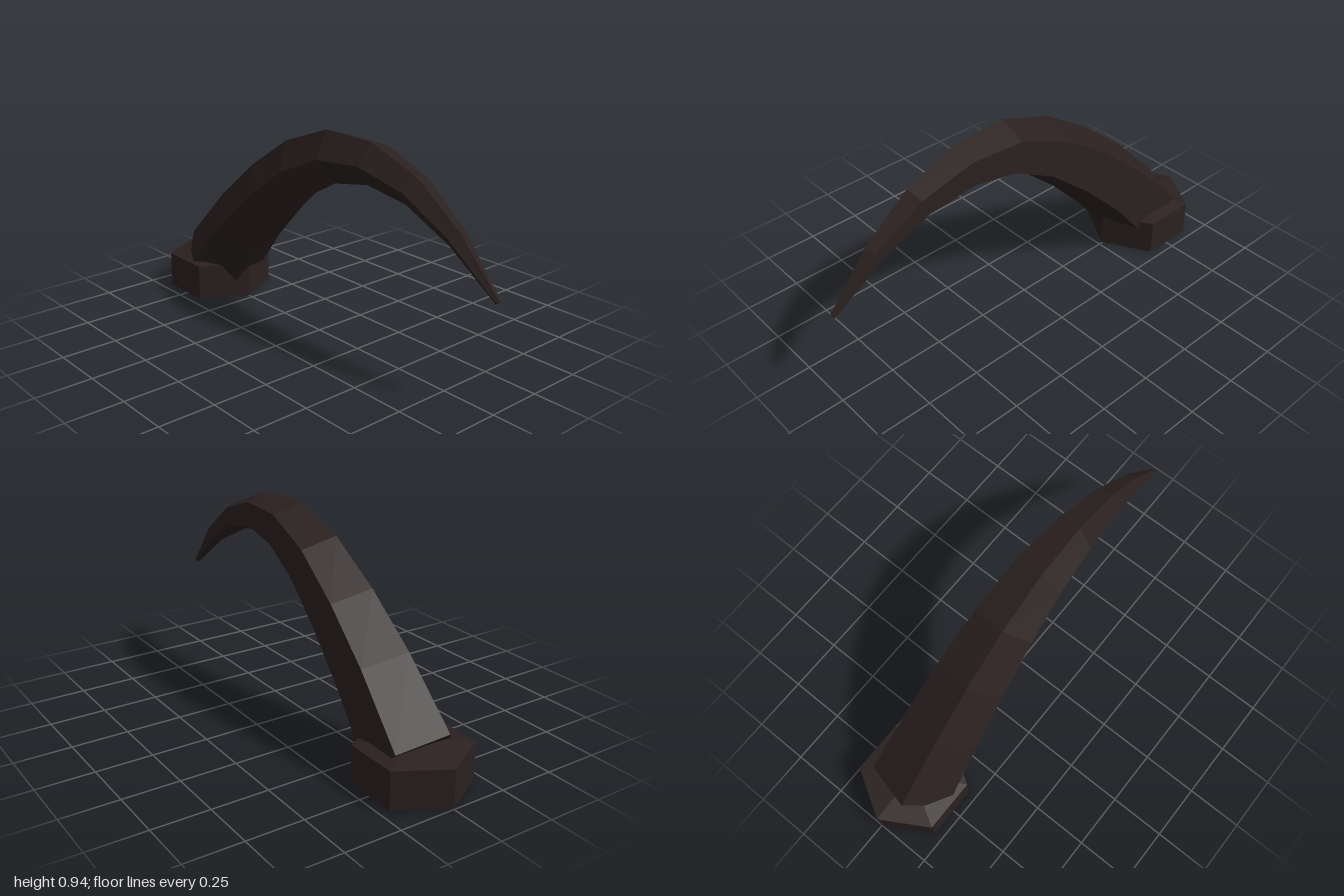
import * as THREE from 'three';

const darkHorn = new THREE.MeshStandardMaterial({ color: 0x2b2020, flatShading: true });
darkHorn.name = 'darkHorn';

// Centre line of the horn as x, y, and the radius of each ring
const RINGS = [
  [-0.755, 0.13, 0.195], [-0.525, 0.387, 0.175], [-0.315, 0.582, 0.157],
  [-0.102, 0.743, 0.138], [0.113, 0.838, 0.118], [0.334, 0.852, 0.095],
  [0.557, 0.79, 0.07], [0.777, 0.655, 0.044], [0.988, 0.462, 0.012],
];
const SIDES = 5;

// Five-sided tapered sweep with one corner pointing to +z
function hornGeometry() {
  const positions = [];
  const index = [];
  const last = RINGS.length - 1;
  RINGS.forEach(([x, y, r], i) => {
    const a = RINGS[Math.max(i - 1, 0)];
    const b = RINGS[Math.min(i + 1, last)];
    const normal = new THREE.Vector2(a[1] - b[1], b[0] - a[0]).normalize();
    for (let j = 0; j < SIDES; j++) {
      const t = (j / SIDES) * Math.PI * 2;
      const s = Math.sin(t) * r;
      positions.push(x + normal.x * s, y + normal.y * s, Math.cos(t) * r);
    }
  });
  for (let i = 0; i < last; i++) {
    for (let j = 0; j < SIDES; j++) {
      const k = (j + 1) % SIDES;
      const p = i * SIDES;
      const q = p + SIDES;
      index.push(p + j, q + j, p + k, q + j, q + k, p + k);
    }
  }
  // End caps
  const e = last * SIDES;
  for (let j = 1; j < SIDES - 1; j++) {
    index.push(0, j, j + 1, e, e + j + 1, e + j);
  }
  const geometry = new THREE.BufferGeometry();
  geometry.setAttribute('position', new THREE.Float32BufferAttribute(positions, 3));
  geometry.setIndex(index);
  const flat = geometry.toNonIndexed();
  flat.computeVertexNormals();
  return flat;
}

export function createModel() {
  const group = new THREE.Group();
  group.name = 'curvedHorn';

  // Hexagonal base with a shallow pointed top
  const profile = [[0, 0.01], [0.242, 0.01], [0.242, 0.175], [0, 0.215]]
    .map(([r, y]) => new THREE.Vector2(r, y));
  const base = new THREE.Mesh(new THREE.LatheGeometry(profile, 6, Math.PI / 2), darkHorn);
  base.name = 'base';
  base.position.x = -0.758;
  group.add(base);

  const horn = new THREE.Mesh(hornGeometry(), darkHorn);
  horn.name = 'horn';
  group.add(horn);

  return group;
}
